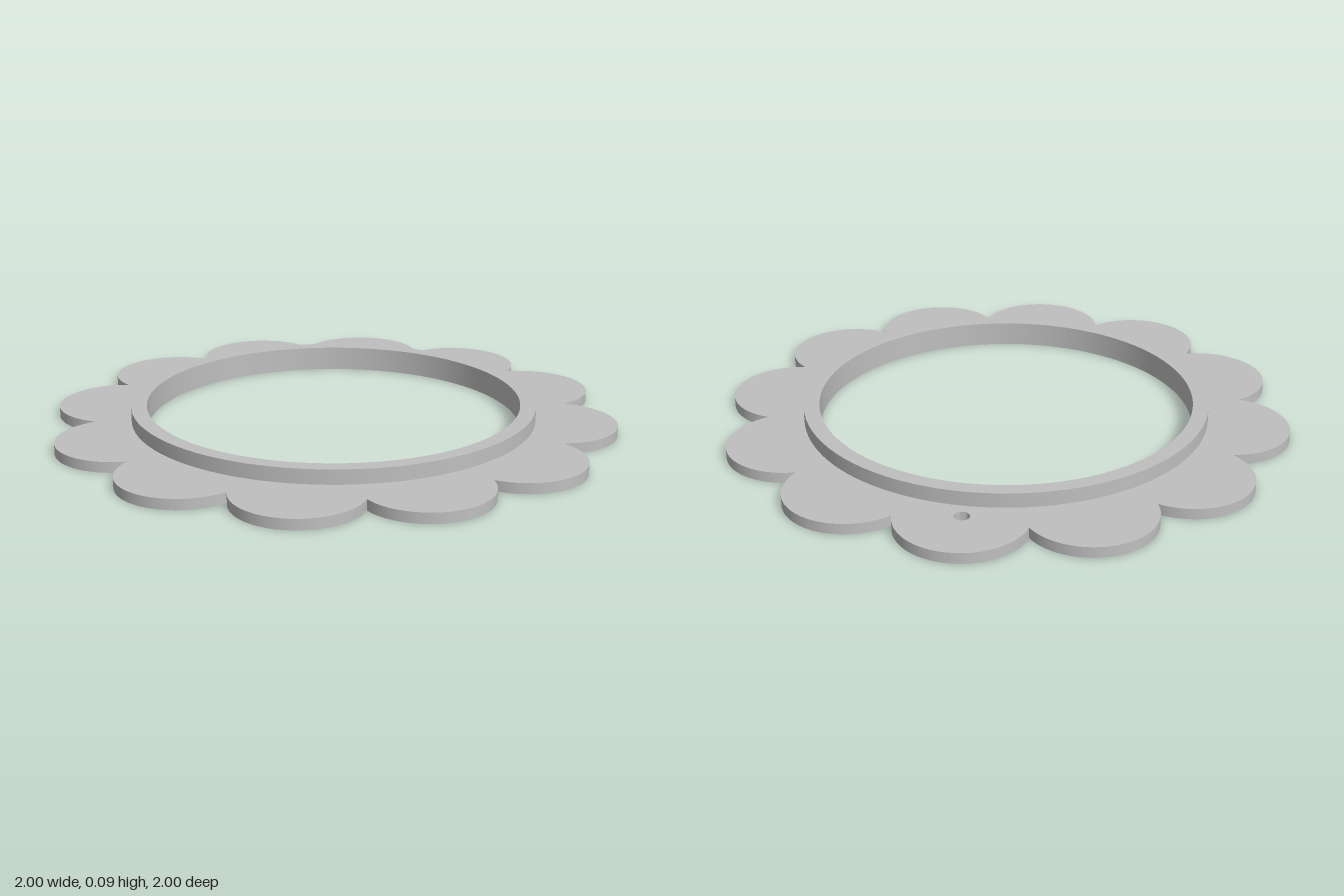
import * as THREE from 'three';
import { toCreasedNormals } from 'three/addons/utils/BufferGeometryUtils.js';

const PETALS = 12;
const PETAL_DIST = 0.78;   // petal centres from the axis
const PETAL_R = 0.22;
const HOLE_R = 0.66;       // central opening
const RIM_R = 0.715;
const PLATE_H = 0.037;
const RIM_TOP = 0.088;

// Scalloped outline made of outer arcs that meet at cusps
function scallopedShape() {
  const half = Math.PI / PETALS;
  const across = PETAL_DIST * Math.sin(half);
  const cusp = PETAL_DIST * Math.cos(half) + Math.sqrt(PETAL_R ** 2 - across ** 2);
  const sweep = Math.atan2(cusp * Math.sin(half), cusp * Math.cos(half) - PETAL_DIST);
  const shape = new THREE.Shape();
  for (let i = 0; i < PETALS; i++) {
    const a = i * 2 * half;
    shape.absarc(PETAL_DIST * Math.cos(a), PETAL_DIST * Math.sin(a), PETAL_R, a - sweep, a + sweep, false);
  }
  return shape;
}

function circularHole(x, y, r) {
  return new THREE.Path().absarc(x, y, r, 0, Math.PI * 2, true);
}

export function createModel() {
  const group = new THREE.Group();
  group.name = 'flowerRing';
  const grey = new THREE.MeshStandardMaterial({ color: 0xbfbfbf });
  grey.name = 'grey';

  // Flat petal plate with the central opening and a small hanging hole at the back
  const shape = scallopedShape();
  shape.holes.push(circularHole(0, 0, HOLE_R), circularHole(0, PETAL_DIST, 0.026));
  const plateGeometry = new THREE.ExtrudeGeometry(shape, { depth: PLATE_H, bevelEnabled: false, curveSegments: 48 });
  plateGeometry.rotateX(-Math.PI / 2);
  const plate = new THREE.Mesh(toCreasedNormals(plateGeometry, 0.5), grey);
  plate.name = 'petalPlate';
  group.add(plate);

  // Raised rim around the opening
  const profile = [
    [RIM_R, PLATE_H], [RIM_R, RIM_TOP], [HOLE_R, RIM_TOP], [HOLE_R, PLATE_H],
  ].map(([x, y]) => new THREE.Vector2(x, y));
  const rim = new THREE.Mesh(toCreasedNormals(new THREE.LatheGeometry(profile, 96), 0.5), grey);
  rim.name = 'raisedRim';
  group.add(rim);

  return group;
}
